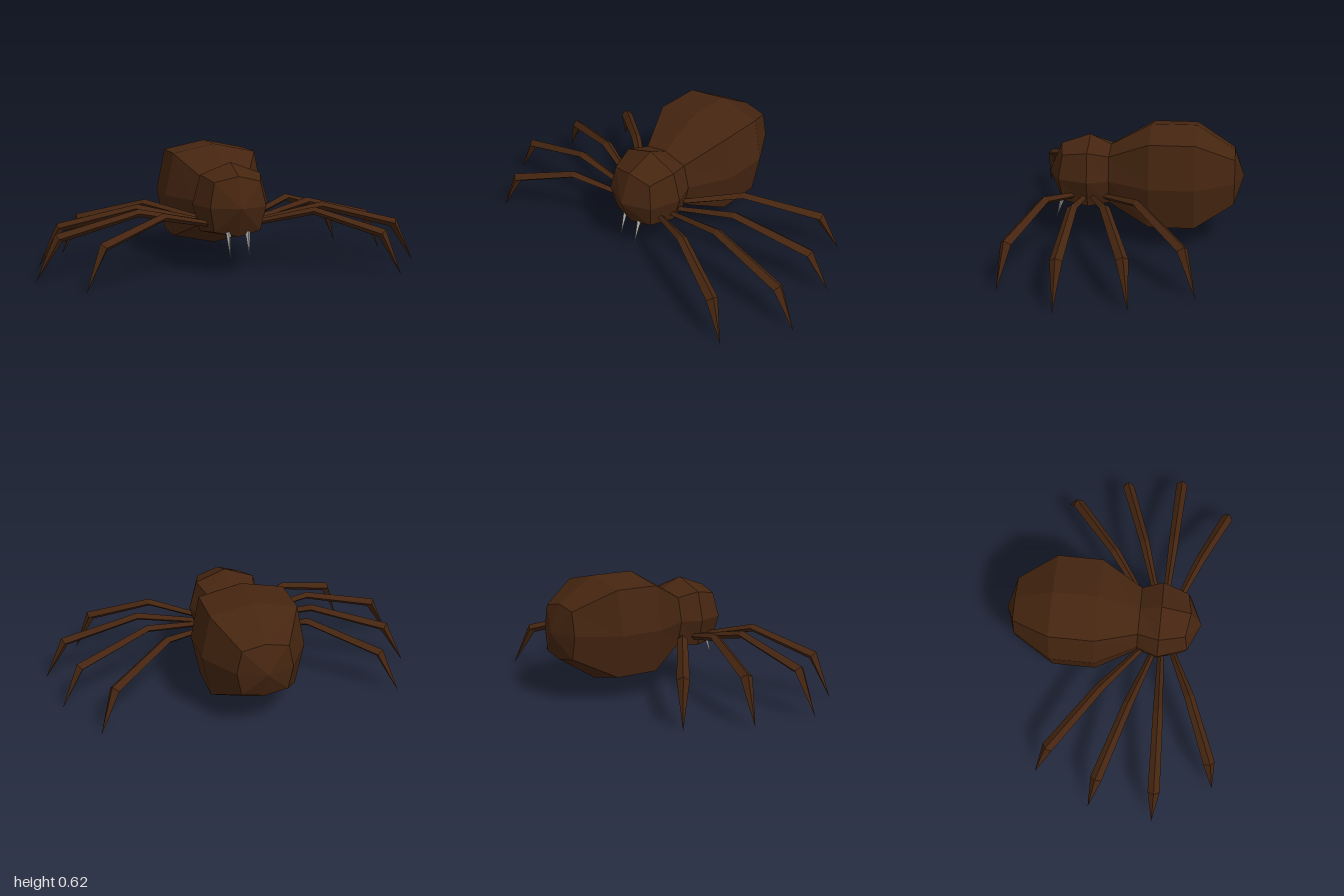
import * as THREE from 'three';

const brown = new THREE.MeshStandardMaterial({ color: 0x452510, flatShading: true });
brown.name = 'dark brown';
const ivory = new THREE.MeshStandardMaterial({ color: 0xb4b2ae, flatShading: true });
ivory.name = 'fang grey';

// Skins a list of equal-sized rings; a ring of identical points closes to a tip.
function loft(rings) {
  const pos = [];
  const tri = (a, b, c) => {
    if (a.equals(b) || b.equals(c) || a.equals(c)) return;
    for (const p of [a, b, c]) pos.push(p.x, p.y, p.z);
  };
  for (let i = 0; i < rings.length - 1; i++) {
    const n = rings[i].length;
    for (let j = 0; j < n; j++) {
      const a = rings[i][j], b = rings[i][(j + 1) % n];
      const d = rings[i + 1][j], c = rings[i + 1][(j + 1) % n];
      tri(a, d, b);
      tri(b, d, c);
    }
  }
  const geo = new THREE.BufferGeometry();
  geo.setAttribute('position', new THREE.Float32BufferAttribute(pos, 3));
  geo.computeVertexNormals();
  return geo;
}

function part(name, geo, material) {
  const mesh = new THREE.Mesh(geo, material);
  mesh.name = name;
  return mesh;
}

// Eight-sided body ring around the y = 0.35 axis
const MID = 0.35;
function bodyRing([z, side, shoulder, top, shoulderTop, shoulderLow, low, zShoulder = z]) {
  return [
    [side, MID, z], [shoulder, shoulderTop, zShoulder], [0, top, z], [-shoulder, shoulderTop, zShoulder],
    [-side, MID, z], [-shoulder, shoulderLow, zShoulder], [0, low, z], [shoulder, shoulderLow, zShoulder],
  ].map((p) => new THREE.Vector3(...p));
}
const tip = (z) => Array.from({ length: 8 }, () => new THREE.Vector3(0, MID, z));

// Diamond-section leg bent at two joints, ending in a point
function legGeometry(rootX, rootZ, tipX, tipZ) {
  const root = new THREE.Vector3(rootX, 0, rootZ);
  const end = new THREE.Vector3(tipX, 0, tipZ);
  const dir = end.clone().sub(root).normalize();
  const up = new THREE.Vector3(0, 1, 0);
  const side = dir.clone().cross(up);
  // [fraction outwards, height, half width, half thickness]
  const stations = [
    [-0.08, 0.25, 0.015, 0.015],
    [0.37, 0.322, 0.026, 0.02],
    [0.86, 0.216, 0.031, 0.026],
    [1, 0.005, 0, 0],
  ];
  const path = stations.map(([f, y]) => root.clone().lerp(end, f).setY(y));
  const rings = stations.map(([, , w, h], i) => {
    const tangent = new THREE.Vector3();
    if (i > 0) tangent.add(path[i].clone().sub(path[i - 1]).normalize());
    if (i < path.length - 1) tangent.add(path[i + 1].clone().sub(path[i]).normalize());
    const normal = tangent.normalize().clone().cross(side).negate();
    return [[w, 0], [0, h], [-w, 0], [0, -h]].map(([u, v]) =>
      path[i].clone().addScaledVector(side, u).addScaledVector(normal, v));
  });
  // cap the hidden root
  rings.unshift(Array.from({ length: 4 }, () => path[0].clone()));
  return loft(rings);
}

export function createModel() {
  const model = new THREE.Group();
  model.name = 'spider';

  // Head section, from the face back to the waist
  const waist = [0.115, 0.16, 0.13, 0.505, 0.475, 0.225, 0.205];
  model.add(part('head', loft([
    tip(0.445),
    bodyRing([0.38, 0.145, 0.12, 0.505, 0.475, 0.225, 0.2, 0.36]),
    bodyRing([0.225, 0.2, 0.16, 0.56, 0.5, 0.21, 0.185]),
    bodyRing(waist),
  ]), brown));

  // Abdomen, from the waist to the rear tip
  model.add(part('abdomen', loft([
    bodyRing(waist),
    bodyRing([-0.1, 0.27, 0.225, 0.622, 0.575, 0.13, 0.083]),
    bodyRing([-0.335, 0.27, 0.225, 0.622, 0.575, 0.13, 0.083]),
    bodyRing([-0.538, 0.145, 0.12, 0.495, 0.472, 0.23, 0.208]),
    tip(-0.59),
  ]), brown));

  // Legs and fangs, mirrored left and right
  const legs = [
    ['frontLeg', 0.15, 0.31, 0.795, 0.585],
    ['secondLeg', 0.18, 0.245, 1.0, 0.28],
    ['thirdLeg', 0.17, 0.195, 0.955, -0.063],
    ['rearLeg', 0.15, 0.125, 0.8, -0.367],
  ];
  for (const [label, s] of [['Left', 1], ['Right', -1]]) {
    for (const [name, rx, rz, tx, tz] of legs) {
      model.add(part(name + label, legGeometry(s * rx, rz, s * tx, tz), brown));
    }
    const fang = part('fang' + label, new THREE.ConeGeometry(0.013, 0.13, 4), ivory);
    fang.position.set(s * 0.05, 0.163, 0.39);
    fang.rotation.x = Math.PI - 0.3;
    model.add(fang);
  }
  return model;
}
